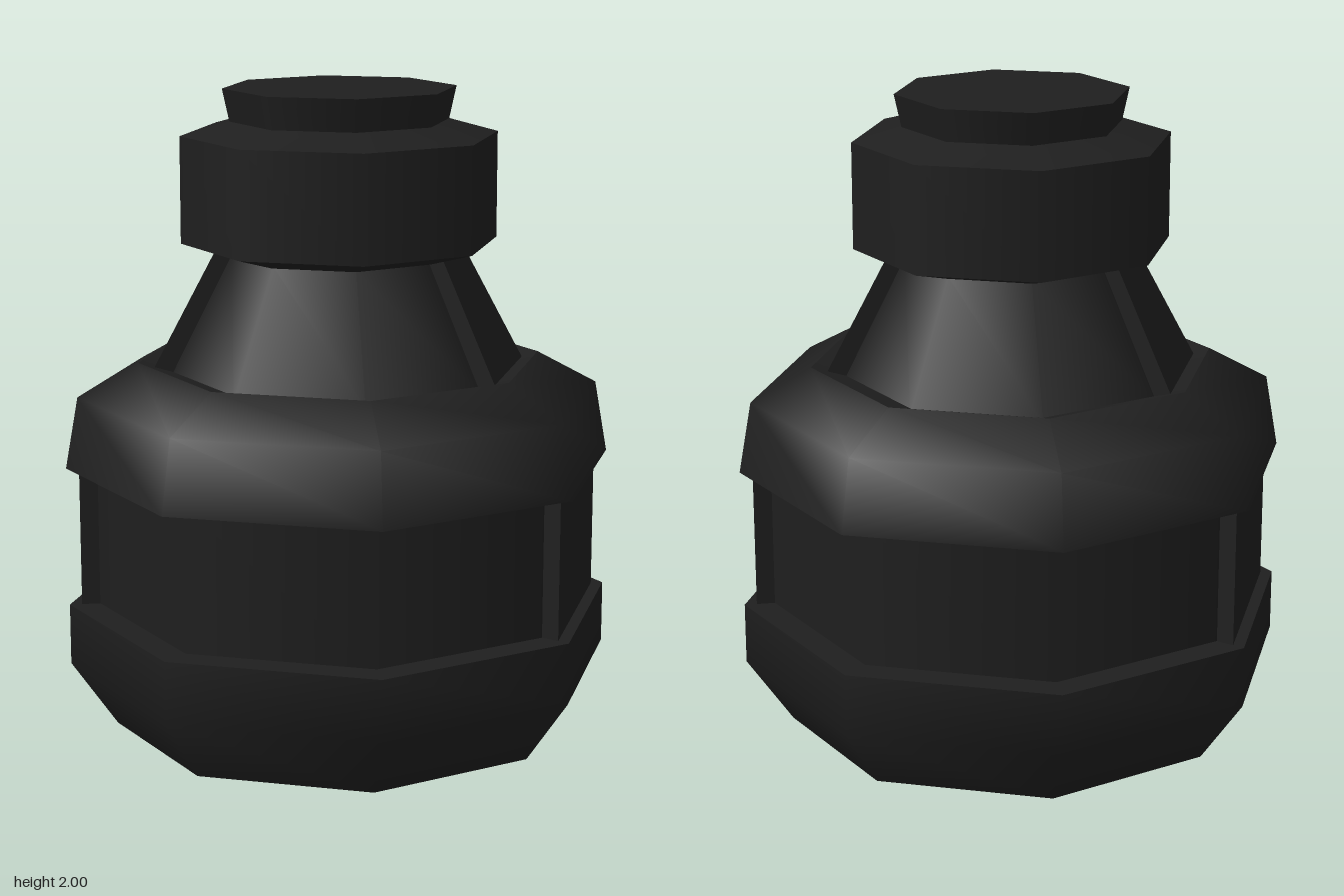
import * as THREE from 'three';

const SIDES = 8;

export function createModel() {
  const model = new THREE.Group();
  const black = new THREE.MeshStandardMaterial({ color: 0x1f1f1f });
  black.name = 'matte black';

  // Each section is a smooth octagonal band; edges between sections stay sharp.
  // Points are [radius, height], following the outline from below to above.
  function turned(name, sections) {
    const part = new THREE.Group();
    part.name = name;
    sections.forEach((pts, i) => {
      const profile = pts.map(([r, y]) => new THREE.Vector2(r, y));
      const mesh = new THREE.Mesh(new THREE.LatheGeometry(profile, SIDES), black);
      mesh.name = `${name}Section${i + 1}`;
      part.add(mesh);
    });
    model.add(part);
  }

  // Raised slab over one octagon face, its radii changing from bottom to top.
  function panel(name, startAngle, bottom, top) {
    const geo = new THREE.BoxGeometry(1, 1, 1);
    const pos = geo.attributes.position;
    for (let i = 0; i < pos.count; i++) {
      const [inner, outer, y] = pos.getY(i) > 0 ? top : bottom;
      const a = startAngle + (pos.getX(i) > 0 ? Math.PI / 4 : 0);
      const r = pos.getZ(i) > 0 ? outer : inner;
      pos.setXYZ(i, r * Math.sin(a), y, r * Math.cos(a));
    }
    geo.computeVertexNormals();
    const mesh = new THREE.Mesh(geo, black);
    mesh.name = name;
    model.add(mesh);
  }

  // Base with a bevelled hollow underneath
  turned('base', [
    [[0, 0.09], [0.63, 0.09]],
    [[0.63, 0.09], [0.71, 0]],
    [[0.71, 0], [0.853, 0.205], [0.853, 0.397]],
    [[0.853, 0.397], [0.72, 0.397]],
  ]);
  turned('waist', [[[0.758, 0.39], [0.758, 0.84]]]);
  // Shoulder whose top dips inward around the neck
  turned('shoulder', [
    [[0.72, 0.836], [0.855, 0.836]],
    [[0.855, 0.836], [0.815, 1.06], [0.627, 1.163]],
    [[0.627, 1.163], [0.46, 1.113]],
  ]);
  turned('neck', [[[0.524, 1.12], [0.333, 1.495]]]);
  turned('cap', [
    [[0.29, 1.488], [0.338, 1.488]],
    [[0.338, 1.488], [0.49, 1.53]],
    [[0.49, 1.53], [0.49, 1.858]],
    [[0.49, 1.858], [0.338, 1.9]],
  ]);
  turned('tip', [
    [[0.338, 1.9], [0.36, 2]],
    [[0.36, 2], [0, 2]],
  ]);

  // Matching pairs of raised panels on opposite faces
  [['front', 0], ['back', Math.PI]].forEach(([side, angle]) => {
    panel(`${side}WaistPanel`, angle, [0.74, 0.815, 0.39], [0.74, 0.815, 0.84]);
    panel(`${side}NeckPanel`, angle, [0.49, 0.591, 1.12], [0.3, 0.383, 1.51]);
  });

  return model;
}
